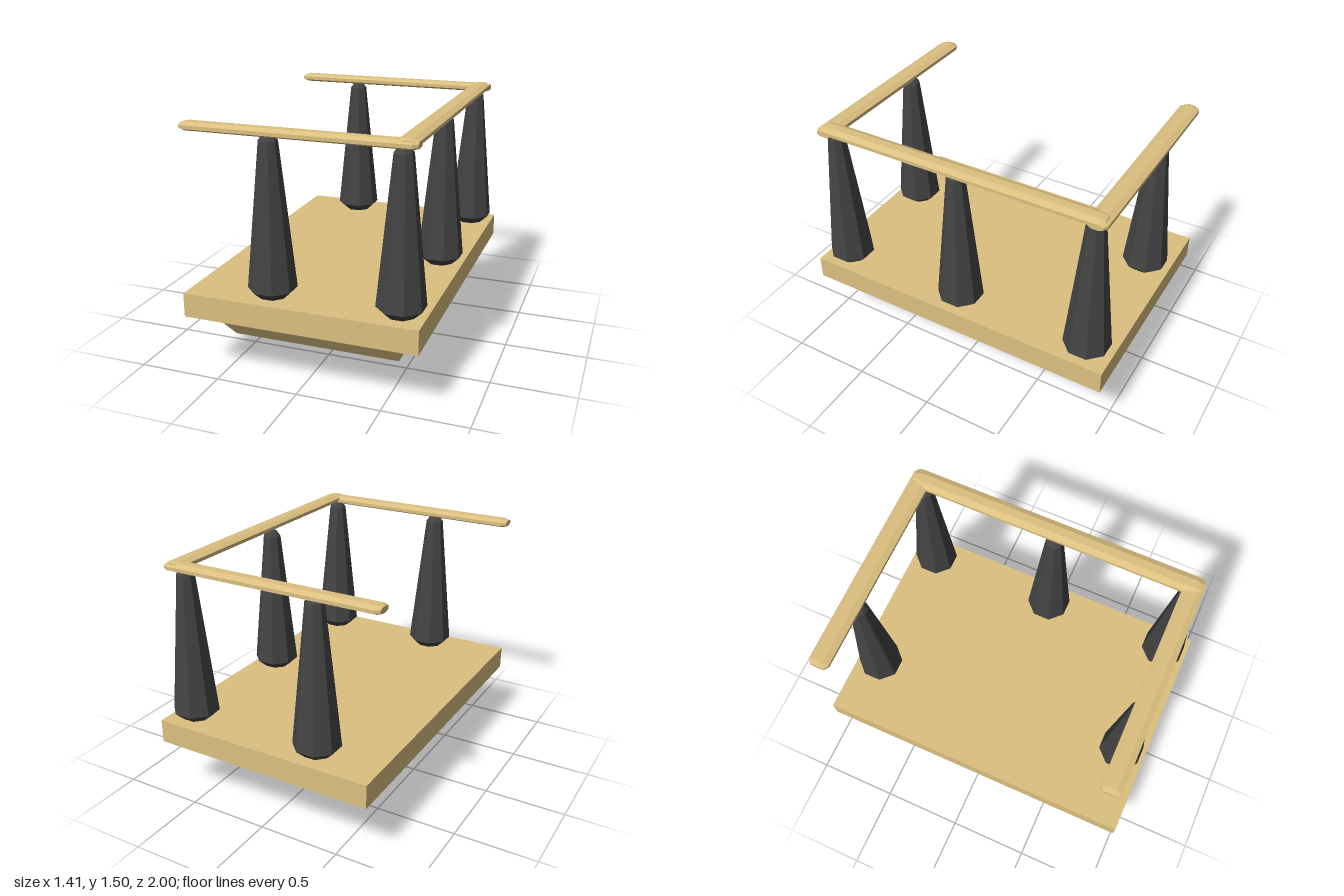
import * as THREE from 'three';
import { ConvexGeometry } from 'three/addons/geometries/ConvexGeometry.js';

const wood = new THREE.MeshStandardMaterial({ color: 0xdcc080, flatShading: true });
const dark = new THREE.MeshStandardMaterial({ color: 0x444444, flatShading: true });

// Eight-sided solid along y; profile holds [half-width across flats, height]
function octagonal(profile) {
  const points = profile.map(([w, y]) => new THREE.Vector2(w / Math.cos(Math.PI / 8), y));
  return new THREE.LatheGeometry(points, 8, Math.PI / 8).toNonIndexed();
}

// Flattened rail with bevelled ends, lying along x
function railGeometry(length) {
  const h = length / 2;
  const g = octagonal([[0, -h], [0.042, -h], [0.06, -h + 0.03], [0.06, h - 0.03], [0.042, h], [0, h]]);
  g.rotateZ(-Math.PI / 2);
  g.scale(1, 0.025 / 0.06, 1);
  return g;
}

export function createModel() {
  const model = new THREE.Group();
  const add = (name, geometry, material, x, y, z) => {
    const mesh = new THREE.Mesh(geometry, material);
    mesh.name = name;
    mesh.position.set(x, y, z);
    model.add(mesh);
    return mesh;
  };

  // Platform slab
  add('platform', new THREE.BoxGeometry(1.395, 0.145, 2), wood, 0.0075, 0.4425, 0);

  // Tapered underside: half-width x, height, half-depth z of each level
  const corners = [];
  for (const [x, y, z] of [[0.62, 0.37, 0.885], [0.513, 0.17, 0.735], [0.21, 0, 0.3]]) {
    for (const sx of [-1, 1]) for (const sz of [-1, 1]) corners.push(new THREE.Vector3(sx * x, y, sz * z));
  }
  add('underside', new ConvexGeometry(corners), wood, 0.0075, 0, 0);

  // Tapered posts
  const post = octagonal([[0, 0], [0.08, 0], [0.13, 0.05], [0.05, 0.9], [0.03, 0.93], [0, 0.93]]);
  for (const [x, z] of [[0.56, -0.84], [0.56, 0.01], [0.56, 0.84], [-0.29, -0.84], [-0.2, 0.84]]) {
    add('post', post, dark, x, 0.515, z);
  }

  // Handrails: two short sides and the long one across
  const shortRail = railGeometry(1.36);
  add('frontRail', shortRail, wood, -0.03, 1.465, 0.86);
  add('backRail', shortRail, wood, -0.03, 1.465, -0.87);
  add('longRail', railGeometry(1.81), wood, 0.59, 1.473, -0.005).rotation.y = Math.PI / 2;

  return model;
}
